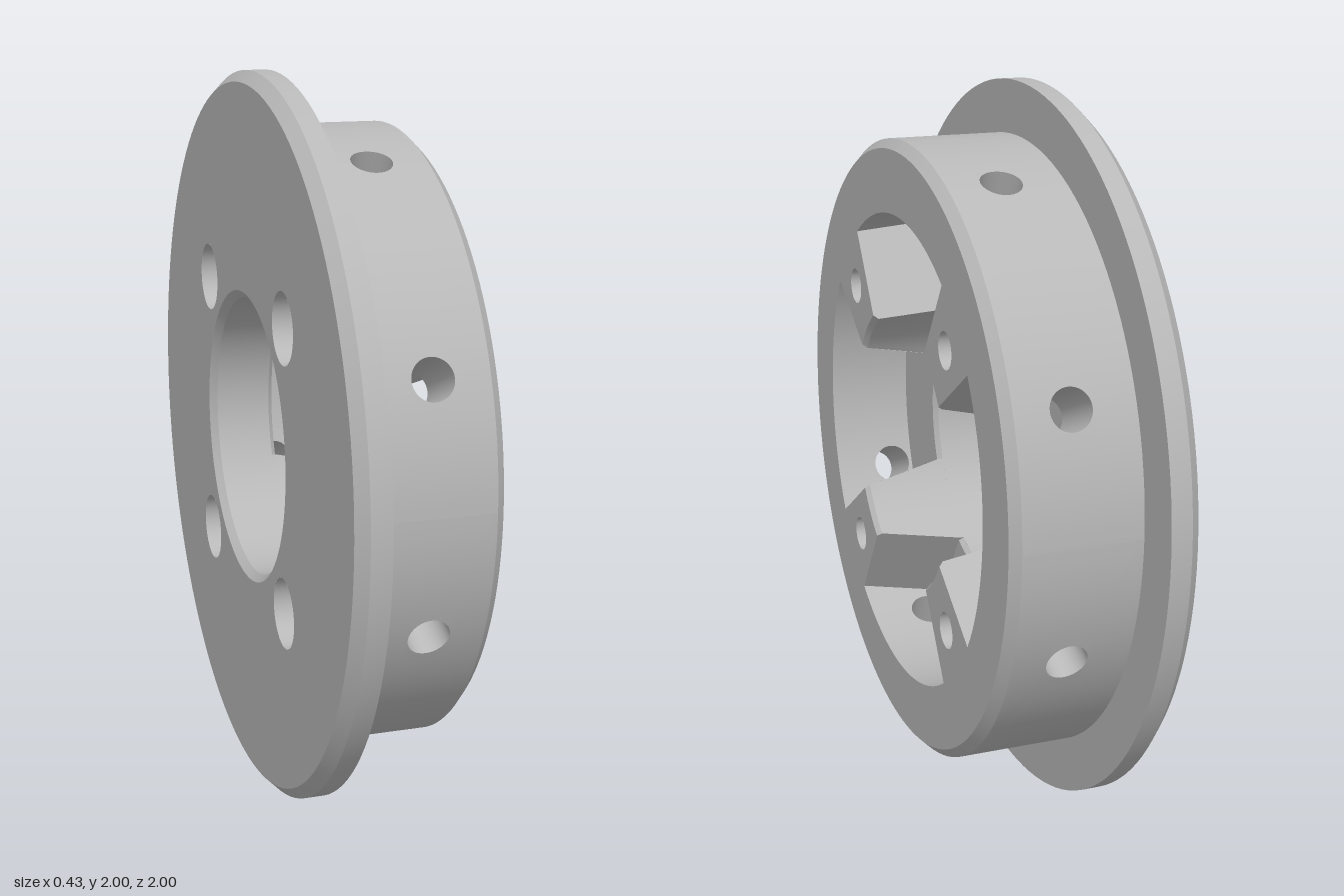
import * as THREE from 'three';

const RAD = Math.PI / 180;
// Main dimensions; the axis of the ring runs along x
const BACK = -0.215, STEP = -0.13, FRONT = 0.213, FLOOR = -0.025;
const BODY = 0.855, BORE = 0.387, POCKET = 0.657, CH = 0.013, RIM = 0.025;
const OPEN = 33.5 * RAD, DRAFT = 0.057;          // pocket half angle and wall draft
const PORT_R = 0.055, PORT_X = 0.04;             // radial holes
const BOLT_C = 0.543, BOLT_R = 0.05, CBORE_R = 0.096, CBORE_X = 0.0;

const at = (x, r, t) => [x, r * Math.cos(t), r * Math.sin(t)];
const mix = (a, b, k) => a + (b - a) * k;

// Half angle of a pocket at radius r and depth x (walls lean inward with depth)
function half(r, x) {
  const depth = Math.min(1, (FRONT - x) / (FRONT - FLOOR));
  return OPEN - Math.asin(DRAFT * depth / r);
}

// Grid surface from fn(u, v) with u and v in 0..1
function surface(fn, nu, nv) {
  const pos = [], idx = [];
  for (let j = 0; j <= nv; j++)
    for (let i = 0; i <= nu; i++) pos.push(...fn(i / nu, j / nv));
  for (let j = 0; j < nv; j++)
    for (let i = 0; i < nu; i++) {
      const a = j * (nu + 1) + i, b = a + nu + 1;
      idx.push(a, a + 1, b, b, a + 1, b + 1);
    }
  const g = new THREE.BufferGeometry();
  g.setAttribute('position', new THREE.Float32BufferAttribute(pos, 3));
  g.setIndex(idx);
  g.computeVertexNormals();
  return g;
}

// Band turned about the x axis from (x0, r0) to (x1, r1)
const band = (x0, r0, x1, r1, n = 128) =>
  surface((u, v) => at(mix(x0, x1, v), mix(r0, r1, v), u * 2 * Math.PI), n, 1);

// Cylinder patch with a round hole, lofted from its border to the hole
function holedPatch(r, t0, tMin, tMax, x0, x1) {
  return surface((u, v) => {
    const side = Math.min(3, Math.floor(u * 4 + 1e-9)), k = (u * 4 - side) * 2 - 1;
    const [a, b] = [[k, -1], [1, k], [-k, 1], [-1, -k]][side];
    const phi = Math.atan2(b, a);
    const x = mix(x0, x1, (b + 1) / 2);
    const t = mix(tMin(x), tMax(x), (a + 1) / 2);
    const hx = PORT_X + PORT_R * Math.sin(phi);
    const ht = t0 + Math.asin(PORT_R * Math.cos(phi) / r);
    return at(mix(x, hx, v), r, mix(t, ht, v));
  }, 64, 8);
}

// Flat face at x, from a shape drawn in (y, z)
function face(shape, x) {
  const g = new THREE.ShapeGeometry(shape, 64);
  const p = g.attributes.position;
  for (let i = 0; i < p.count; i++) p.setXYZ(i, x, p.getX(i), p.getY(i));
  g.computeVertexNormals();
  return g;
}

const circle = (r, t = 0, c = 0, Type = THREE.Path) =>
  new Type().absarc(c * Math.cos(t), c * Math.sin(t), r, 0, 2 * Math.PI, false);

export function createModel() {
  const model = new THREE.Group();
  const ring = new THREE.Group();
  ring.name = 'flangedRing';
  ring.position.y = 1;
  model.add(ring);
  const metal = new THREE.MeshStandardMaterial({ color: 0xb8b8b8, side: THREE.DoubleSide });
  metal.name = 'grey metal';
  const add = (name, geometry) => {
    const m = new THREE.Mesh(geometry, metal);
    m.name = name;
    ring.add(m);
    return m;
  };

  // Flange, rim bevel and bore
  add('flangeBevel', band(BACK, 0.97, BACK + 0.03, 1));
  add('flangeEdge', band(BACK + 0.03, 1, STEP, 1));
  add('flangeShoulder', band(STEP, 1, STEP, BODY));
  add('rimBevel', band(FRONT - RIM, BODY, FRONT, BODY - RIM));
  add('boreBackBevel', band(BACK, BORE + 0.02, BACK + 0.02, BORE));
  add('bore', band(BACK + 0.02, BORE, FLOOR - CH, BORE));

  // Back face with counterbored bolt holes
  const back = circle(0.97, 0, 0, THREE.Shape);
  back.holes.push(circle(BORE + 0.02));

  // Front face, its opening following the pockets and posts
  const front = circle(BODY - RIM, 0, 0, THREE.Shape);
  const outline = [];
  const arc = (r, t0, t1, n) => {
    for (let i = 0; i <= n; i++) {
      const t = mix(t0, t1, i / n);
      outline.push(new THREE.Vector2(r * Math.cos(t), r * Math.sin(t)));
    }
  };
  for (let k = 0; k < 4; k++) {
    const c = k * Math.PI / 2;
    arc(POCKET, c - OPEN, c + OPEN, 24);
    arc(BORE + CH, c + OPEN, c + Math.PI / 2 - OPEN, 8);
  }
  front.holes.push(new THREE.Path().setFromPoints(outline));

  for (let k = 0; k < 4; k++) {
    const c = k * Math.PI / 2, bolt = c + Math.PI / 4;
    back.holes.push(circle(CBORE_R, bolt, BOLT_C));
    front.holes.push(circle(BOLT_R, bolt, BOLT_C));

    // Bolt hole: narrow bore, step and counterbore
    const boltHole = [
      ['boltBore', band(CBORE_X, BOLT_R, FRONT, BOLT_R, 40)],
      ['boltStep', band(CBORE_X, BOLT_R, CBORE_X, CBORE_R, 40)],
      ['boltCounterbore', band(BACK, CBORE_R, CBORE_X, CBORE_R, 40)],
    ];
    for (const [name, g] of boltHole)
      add(name, g).position.set(0, BOLT_C * Math.cos(bolt), BOLT_C * Math.sin(bolt));

    // Post end along the bore, with its bevel
    const post = (x0, r0, x1, r1) => surface((u, v) => {
      const x = mix(x0, x1, v), r = mix(r0, r1, v), h = half(r, x);
      return at(x, r, c + mix(h, Math.PI / 2 - h, u));
    }, 16, 4);
    add('postEnd', post(FLOOR, BORE, FRONT - CH, BORE));
    add('postFoot', post(FLOOR - CH, BORE, FLOOR, BORE));
    add('postBevel', post(FRONT - CH, BORE, FRONT, BORE + CH));

    // Pocket floor and its bevel into the bore
    const floor = (x0, r0, x1, r1) => surface((u, v) => {
      const r = mix(r0, r1, v), h = half(r, FLOOR);
      return at(mix(x0, x1, v), r, c + mix(-h, h, u));
    }, 32, 4);
    add('pocketFloor', floor(FLOOR, BORE + CH, FLOOR, POCKET));
    add('pocketFloorBevel', floor(FLOOR - CH, BORE, FLOOR, BORE + CH));

    // Curved outer wall of the pocket, plain in the middle
    const inner = 13 * RAD, port = 22.5 * RAD;
    add('pocketWall', surface((u, v) =>
      at(mix(FLOOR, FRONT, v), POCKET, c + mix(-inner, inner, u)), 16, 1));

    for (const s of [-1, 1]) {
      const t0 = c + s * port;
      add('pocketPortWall', holedPatch(POCKET, t0,
        (x) => (s > 0 ? c + inner : c - half(POCKET, x)),
        (x) => (s > 0 ? c + half(POCKET, x) : c - inner), FLOOR, FRONT));

      // Leaning side wall of the pocket: rows of x, inner and outer radius
      const rows = [[FLOOR - CH, BORE, BORE], [FLOOR, BORE, BORE + CH], [FLOOR, BORE, POCKET],
        [FRONT - CH, BORE, POCKET], [FRONT, BORE + CH, POCKET]];
      const side = surface((u, v) => {
        const [x, a, b] = rows[Math.round(v * 4)];
        const r = mix(a, b, u);
        return at(x, r, c + s * half(r, x));
      }, 6, 4).toNonIndexed();
      side.computeVertexNormals();
      add('pocketSide', side);

      // Body wall around a radial hole, and the hole itself
      add('bodyWall', holedPatch(BODY, t0, () => t0 - port, () => t0 + port,
        STEP, FRONT - RIM));
      add('radialHole', surface((u, v) => {
        const phi = u * 2 * Math.PI, a = PORT_R * Math.cos(phi), r = mix(POCKET, BODY, v);
        return at(PORT_X + PORT_R * Math.sin(phi), r, t0 + Math.asin(a / r));
      }, 64, 1));
    }
  }
  add('backFace', face(back, BACK));
  add('frontFace', face(front, FRONT));
  return model;
}
